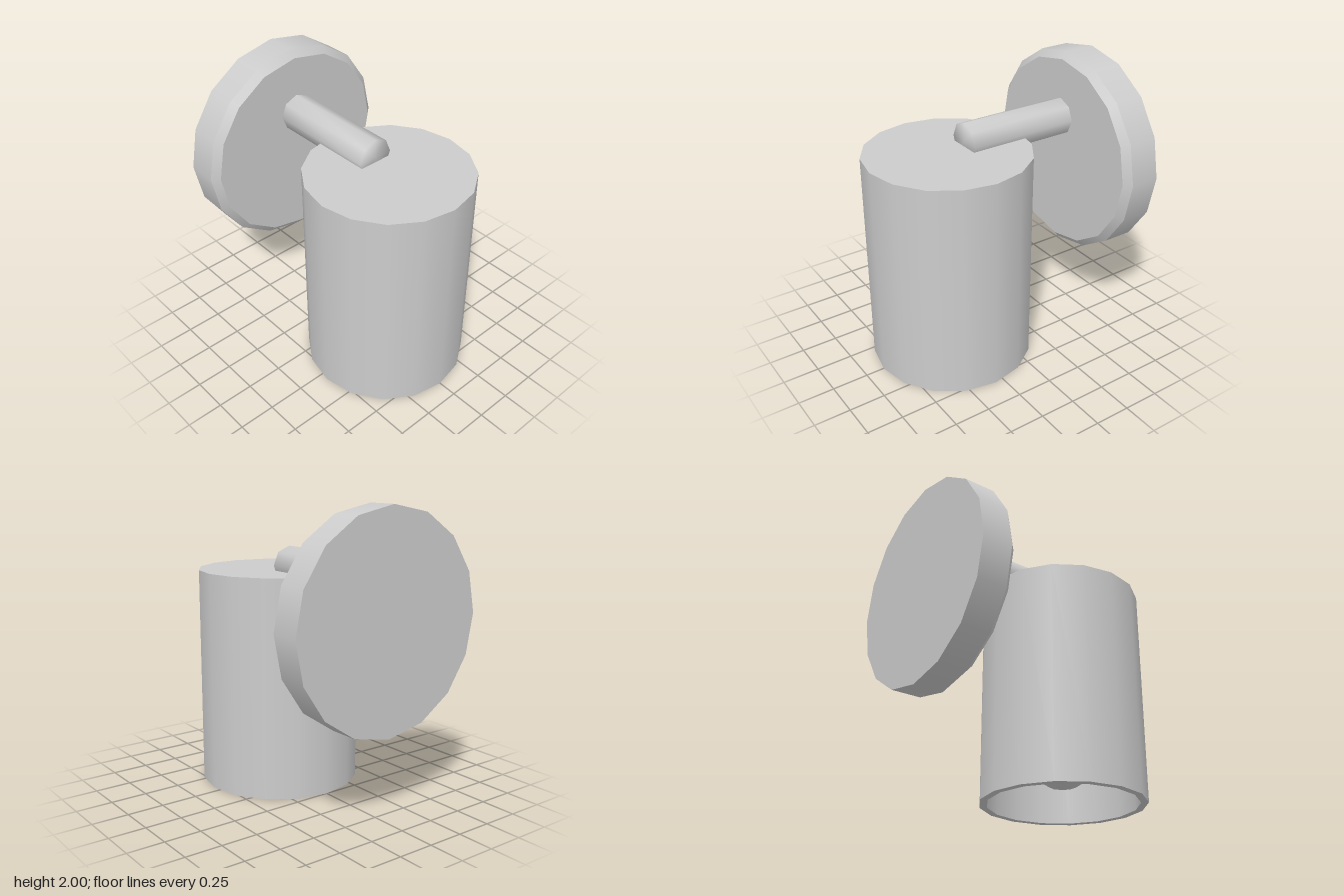
import * as THREE from 'three';
import { mergeGeometries, mergeVertices } from 'three/addons/utils/BufferGeometryUtils.js';

// Lathe that stays smooth around the axis but has a sharp edge at every profile point
function sharpLathe(profile, sides) {
  const bands = [];
  for (let i = 0; i < profile.length - 1; i++) {
    const pair = [profile[i], profile[i + 1]].map(([r, y]) => new THREE.Vector2(r, y));
    bands.push(new THREE.LatheGeometry(pair, sides));
  }
  return mergeGeometries(bands);
}

export function createModel() {
  const group = new THREE.Group();
  group.name = 'wallSpotlight';
  const metal = new THREE.MeshStandardMaterial({ color: 0xcccccc });
  metal.name = 'light grey metal';

  const add = (name, geometry, x, y, z) => {
    const mesh = new THREE.Mesh(geometry, metal);
    mesh.name = name;
    mesh.position.set(x, y, z);
    group.add(mesh);
    return mesh;
  };

  // Round wall plate with a bevelled front edge
  const plate = sharpLathe([[0, 0], [0.72, 0], [0.72, 0.21], [0.67, 0.255], [0, 0.255]], 16);
  plate.rotateX(Math.PI / 2);
  add('wallPlate', plate, 0, 1.28, -0.865);

  // Eight-sided arm, shaded softly over its ends
  let arm = new THREE.CylinderGeometry(0.13, 0.13, 0.79, 8);
  arm.deleteAttribute('normal');
  arm.deleteAttribute('uv');
  arm = mergeVertices(arm);
  arm.computeVertexNormals();
  arm.rotateX(-Math.PI / 2);
  add('arm', arm, 0, 1.545, -0.215);

  // Hollow shade, open at the bottom: inner ceiling, inner wall, rim, outer wall, top
  const shade = sharpLathe([[0, 1.46], [0.51, 1.46], [0.51, 0], [0.56, 0], [0.56, 1.51], [0, 1.51]], 16);
  add('lampShade', shade, 0, 0, 0.31);

  // Bulb and its socket inside the shade
  add('bulb', new THREE.SphereGeometry(0.25, 10, 8), 0, 0.36, 0.31);
  add('socket', new THREE.CylinderGeometry(0.14, 0.14, 0.92, 10), 0, 1.01, 0.31);

  return group;
}
